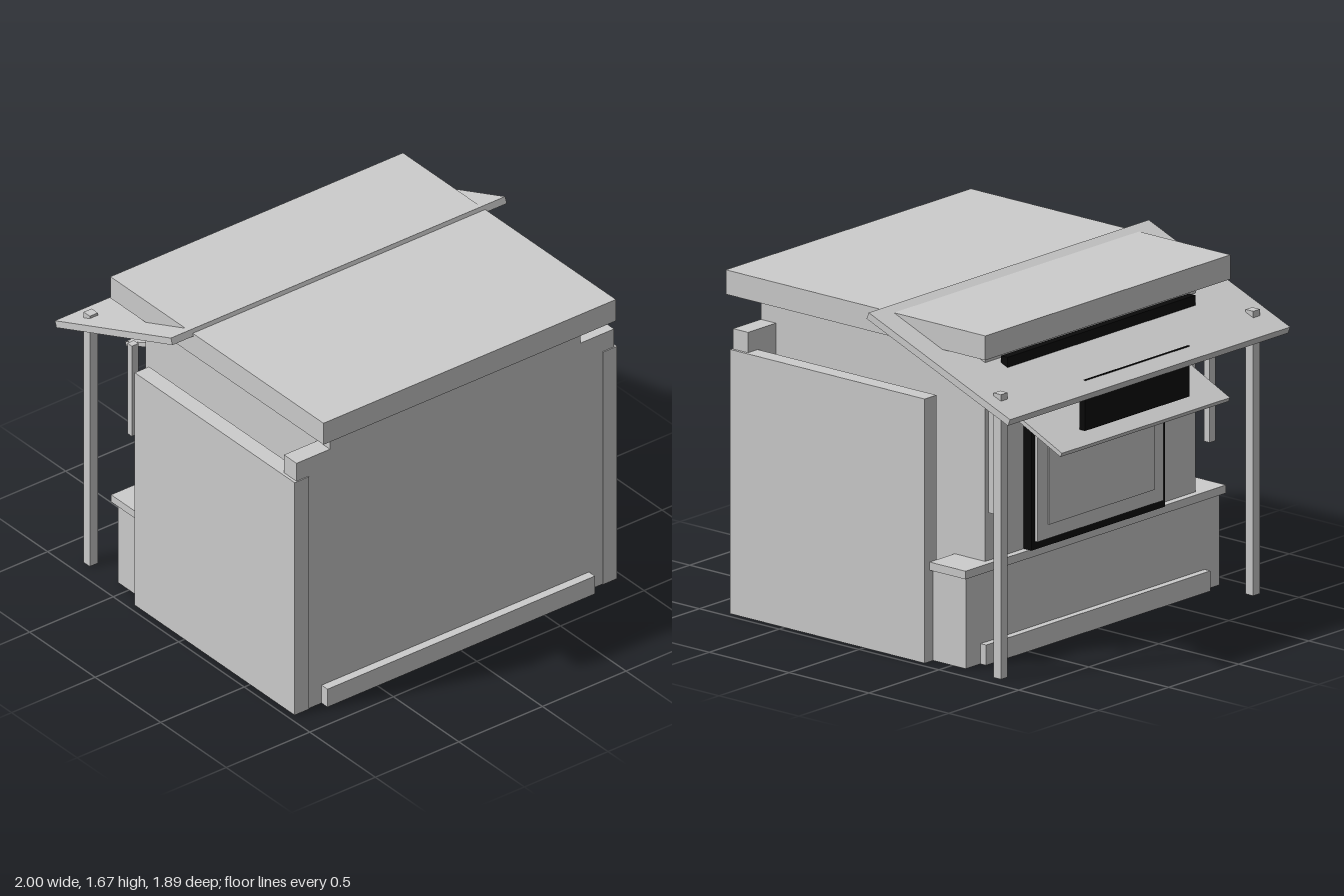
import * as THREE from 'three';

export function createModel() {
  const model = new THREE.Group();
  model.name = 'kiosk';
  const grey = new THREE.MeshStandardMaterial({ color: 0xcccccc });
  grey.name = 'light grey';
  const black = new THREE.MeshStandardMaterial({ color: 0x0a0a0a });
  black.name = 'black';

  // Box given by its limits on each axis
  function box(name, [x0, x1], [y0, y1], [z0, z1], material = grey) {
    const mesh = new THREE.Mesh(new THREE.BoxGeometry(x1 - x0, y1 - y0, z1 - z0), material);
    mesh.position.set((x0 + x1) / 2, (y0 + y1) / 2, (z0 + z1) / 2);
    mesh.name = name;
    model.add(mesh);
    return mesh;
  }
  // Box centred on x = 0
  const centred = (name, half, y, z, material) => box(name, [-half, half], y, z, material);
  // Mirrored pair of boxes
  function pair(name, [x0, x1], y, z) {
    box(name + 'Left', [x0, x1], y, z);
    box(name + 'Right', [-x1, -x0], y, z);
  }
  // Sloping board falling towards the back
  function slope(name, width, thickness, length, y, z, angle) {
    const mesh = new THREE.Mesh(new THREE.BoxGeometry(width, thickness, length), grey);
    mesh.position.set(0, y, z);
    mesh.rotation.x = -angle;
    mesh.name = name;
    model.add(mesh);
  }

  // Main body and flat roof
  centred('body', 0.75, [0, 1.53], [-0.57, 0.835]);
  centred('roof', 0.875, [1.53, 1.65], [-0.68, 0.945]);

  // Side walls stand off the body, joined by corner pillars
  pair('cornerPillar', [0.75, 0.95], [0, 1.4], [0.74, 0.835]);
  pair('sideWall', [0.88, 0.965], [0, 1.3], [-0.38, 0.84]);

  // Serving counter at the back
  centred('counterBase', 0.905, [0, 0.45], [-0.585, -0.38]);
  centred('counterTop', 0.93, [0.45, 0.49], [-0.605, -0.38]);

  // Baseboards
  centred('frontBaseboard', 0.8, [0, 0.1], [0.83, 0.88]);
  centred('backBaseboard', 0.8, [0, 0.1], [-0.62, -0.58]);

  // Serving window with raised panes
  centred('windowFrame', 0.475, [0.49, 1.165], [-0.62, -0.57], black);
  centred('windowPane', 0.45, [0.53, 1.13], [-0.635, -0.615]);
  centred('innerPane', 0.375, [0.6, 1.06], [-0.642, -0.63]);
  pair('wallStrip', [0.75, 0.79], [0.75, 1.255], [-0.66, -0.625]);

  // Sign boards
  centred('upperSign', 0.67, [1.27, 1.49], [-0.64, -0.6], black);
  centred('hangingSign', 0.373, [1.105, 1.355], [-0.865, -0.83], black);

  // Canopy on posts, and a small awning over the window
  slope('canopy', 2, 0.035, 0.952, 1.478, -0.496, 0.376);
  slope('windowAwning', 1.2, 0.022, 0.376, 1.127, -0.744, 0.436);
  pair('canopyPost', [0.876, 0.924], [0, 1.4], [-0.822, -0.775]);

  return model;
}
